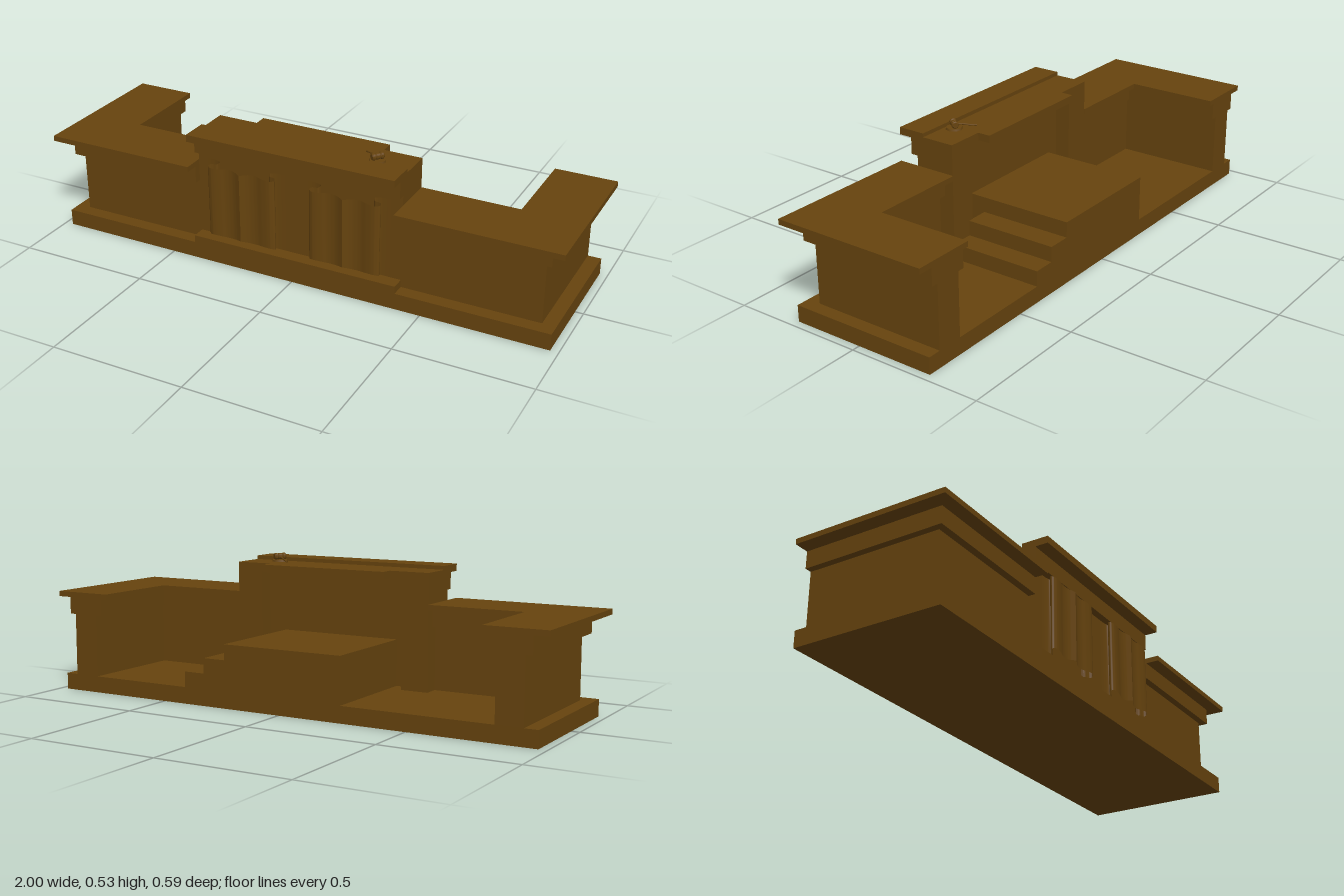
import * as THREE from 'three';
import { toCreasedNormals } from 'three/addons/utils/BufferGeometryUtils.js';

export function createModel() {
  const root = new THREE.Group();
  root.name = 'courtroomBench';
  const wood = new THREE.MeshStandardMaterial({ color: 0x66430e, side: THREE.DoubleSide });
  wood.name = 'brownWood';

  const add = (name, geo, parent = root) => {
    const m = new THREE.Mesh(geo, wood);
    m.name = name;
    parent.add(m);
    return m;
  };
  // Box given by its limits on each axis
  const box = (name, [x0, x1], [y0, y1], [z0, z1]) => {
    const m = add(name, new THREE.BoxGeometry(x1 - x0, y1 - y0, z1 - z0));
    m.position.set((x0 + x1) / 2, (y0 + y1) / 2, (z0 + z1) / 2);
    return m;
  };
  // L-shaped plan (front run plus side run) raised from y0 to y1
  const wing = (name, side, outerX, innerX, frontZ, innerZ, y0, y1) => {
    const s = new THREE.Shape([
      [0.405, frontZ], [outerX, frontZ], [outerX, -0.295],
      [innerX, -0.295], [innerX, innerZ], [0.405, innerZ],
    ].map(([x, z]) => new THREE.Vector2(x * side, -z)));
    const geo = new THREE.ExtrudeGeometry(s, { depth: y1 - y0, bevelEnabled: false });
    geo.rotateX(-Math.PI / 2);
    add(name, geo).position.y = y0;
  };

  // Base and the raised plinth at the centre front
  box('base', [-0.97, 0.97], [0, 0.062], [-0.295, 0.27]);
  box('frontPlinth', [-0.405, 0.405], [0.062, 0.09], [0.21, 0.27]);

  // Lower side wings: wall, trim and counter
  for (const side of [1, -1]) {
    const label = side > 0 ? 'left' : 'right';
    wing(label + 'WingWall', side, 0.92, 0.82, 0.218, 0.122, 0.062, 0.296);
    wing(label + 'WingTrim', side, 0.945, 0.795, 0.245, 0.098, 0.296, 0.36);
    wing(label + 'WingCounter', side, 1, 0.77, 0.295, 0.06, 0.36, 0.38);
    const px = [0.3 * side, 0.405 * side].sort((a, b) => a - b);
    box(label + 'Pedestal', px, [0.062, 0.466], [0.062, 0.217]);
  }

  // Tall central desk
  box('centreWall', [-0.405, 0.405], [0.062, 0.48], [0.122, 0.218]);
  box('cornice', [-0.405, 0.405], [0.418, 0.48], [0.2, 0.245]);
  box('deskTop', [-0.405, 0.405], [0.465, 0.493], [0.062, 0.2]);
  box('deskBackLip', [-0.25, 0.26], [0.465, 0.493], [0.013, 0.062]);
  box('topRail', [-0.405, 0.405], [0.48, 0.507], [0.19, 0.295]);

  // Raised floor with two steps at one end
  box('platform', [-0.25, 0.23], [0.062, 0.235], [-0.295, 0.122]);
  box('upperStep', [0.23, 0.32], [0.062, 0.177], [-0.295, 0.064]);
  box('lowerStep', [0.32, 0.405], [0.062, 0.12], [-0.295, 0.064]);

  // Folded cloth panels: a curled cross-section whose ends slant with depth
  const half = new THREE.CatmullRomCurve3([
    [0.16, 0.232], [0.125, 0.234], [0.102, 0.242], [0.108, 0.254], [0.13, 0.258],
    [0.136, 0.268], [0.122, 0.277], [0.09, 0.275], [0.06, 0.268], [0.03, 0.27], [0, 0.283],
  ].map(([x, z]) => new THREE.Vector3(x, 0, z))).getPoints(50);
  const section = [
    ...half.map(p => [-p.x, p.z]),
    ...half.slice(0, -1).reverse().map(p => [p.x, p.z]),
  ];
  const pos = [];
  const idx = [];
  section.forEach(([x, z], i) => {
    const d = z - 0.232;
    pos.push(x, 0.1 + d * 0.43, z, x, 0.402 - d * 0.33, z);
    if (i) {
      const a = 2 * i - 2;
      idx.push(a, a + 2, a + 1, a + 1, a + 2, a + 3);
    }
  });
  let fold = new THREE.BufferGeometry();
  fold.setAttribute('position', new THREE.Float32BufferAttribute(pos, 3));
  fold.setIndex(idx);
  fold = toCreasedNormals(fold, 0.6);
  add('rightFoldedPanel', fold).position.x = -0.2;
  add('leftFoldedPanel', fold).position.x = 0.208;

  // Gavel resting on its block
  const gavel = new THREE.Group();
  gavel.name = 'gavel';
  gavel.position.set(0.278, 0.493, 0.155);
  gavel.rotation.y = -0.66;
  root.add(gavel);
  const block = add('gavelBlock', new THREE.CylinderGeometry(0.029, 0.031, 0.007, 8), gavel);
  block.position.y = 0.0035;
  const profile = [
    [0, -0.023], [0.010, -0.023], [0.013, -0.019], [0.013, -0.012], [0.010, -0.009], [0.012, -0.006],
    [0.012, 0.006], [0.010, 0.009], [0.013, 0.012], [0.013, 0.019], [0.010, 0.023], [0, 0.023],
  ].map(([r, y]) => new THREE.Vector2(r, y));
  const head = add('gavelHead', toCreasedNormals(new THREE.LatheGeometry(profile, 16), 0.5), gavel);
  head.rotation.x = Math.PI / 2;
  head.position.y = 0.02;
  const path = new THREE.LineCurve3(new THREE.Vector3(0, 0.02, 0), new THREE.Vector3(-0.082, 0.004, 0));
  add('gavelHandle', new THREE.TubeGeometry(path, 1, 0.003, 8), gavel);

  return root;
}
